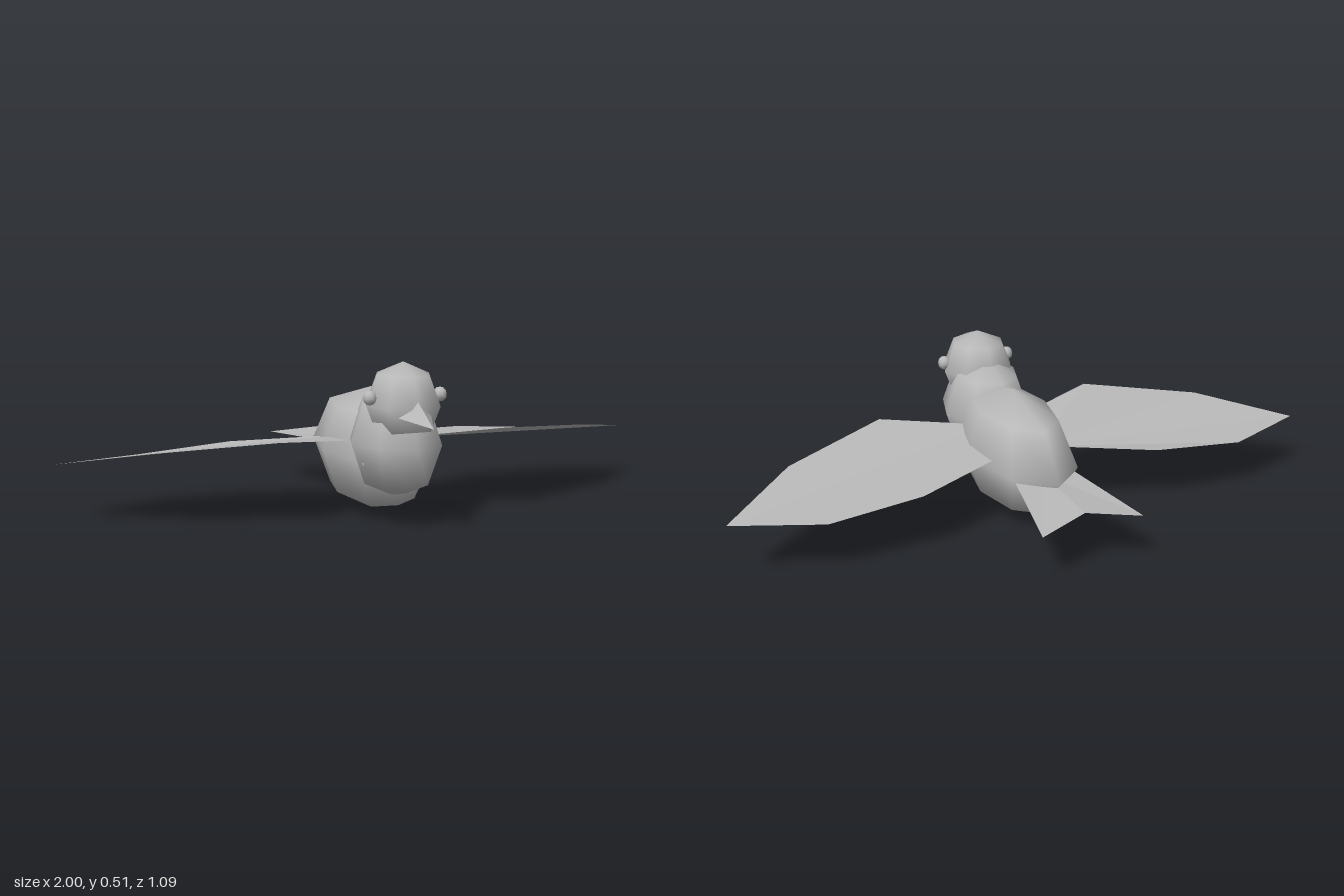
import * as THREE from 'three';

const grey = new THREE.MeshStandardMaterial({ color: 0xb8b8b8, side: THREE.DoubleSide });

// Low-poly ellipsoid with smooth normals
function ellipsoid(name, center, radii, rings = 4) {
  const geo = new THREE.SphereGeometry(1, 8, rings);
  geo.scale(...radii);
  geo.translate(...center);
  const mesh = new THREE.Mesh(geo, grey);
  mesh.name = name;
  return mesh;
}

// Flat-faced surface made of polygons, each fanned from its first corner
function facets(name, polygons) {
  const pos = [];
  for (const p of polygons)
    for (let i = 1; i < p.length - 1; i++) pos.push(...p[0], ...p[i], ...p[i + 1]);
  const geo = new THREE.BufferGeometry();
  geo.setAttribute('position', new THREE.Float32BufferAttribute(pos, 3));
  geo.computeVertexNormals();
  const mesh = new THREE.Mesh(geo, grey);
  mesh.name = name;
  return mesh;
}

export function createModel() {
  const bird = new THREE.Group();
  bird.name = 'bird';

  // Overlapping body masses
  bird.add(
    ellipsoid('body', [0, 0.2, 0.025], [0.165, 0.2, 0.343]),
    ellipsoid('chest', [0, 0.26, 0.237], [0.145, 0.184, 0.188]),
    ellipsoid('head', [0, 0.384, 0.302], [0.12, 0.131, 0.132]),
  );

  // Three-sided beak
  const tip = [0, 0.345, 0.545], top = [0, 0.425, 0.39];
  const l = [0.055, 0.358, 0.395], r = [-0.055, 0.358, 0.395];
  bird.add(facets('beak', [[top, tip, l], [top, r, tip], [tip, r, l], [top, l, r]]));

  // Wing outline from front root to back root
  const wing = [
    [0.05, 0.245, 0.13], [0.38, 0.278, 0.25], [0.74, 0.24, 0.095], [1, 0.185, -0.12],
    [0.72, 0.178, -0.225], [0.41, 0.203, -0.215], [0.05, 0.228, -0.07],
  ];
  for (const [side, s] of [['left', 1], ['right', -1]]) {
    bird.add(ellipsoid(side + 'Eye', [s * 0.115, 0.411, 0.32], [0.022, 0.023, 0.023], 6));
    const outline = wing.map(([x, y, z]) => [s * x, y, z]);
    if (s < 0) outline.reverse();
    bird.add(facets(side + 'Wing', [outline]));
  }

  // Forked tail in two halves
  const root = [0, 0.192, -0.2], notch = [0, 0.183, -0.49];
  bird.add(facets('tail', [
    [root, [0.1, 0.19, -0.2], [0.17, 0.164, -0.548], notch],
    [root, notch, [-0.17, 0.164, -0.548], [-0.1, 0.19, -0.2]],
  ]));

  return bird;
}
